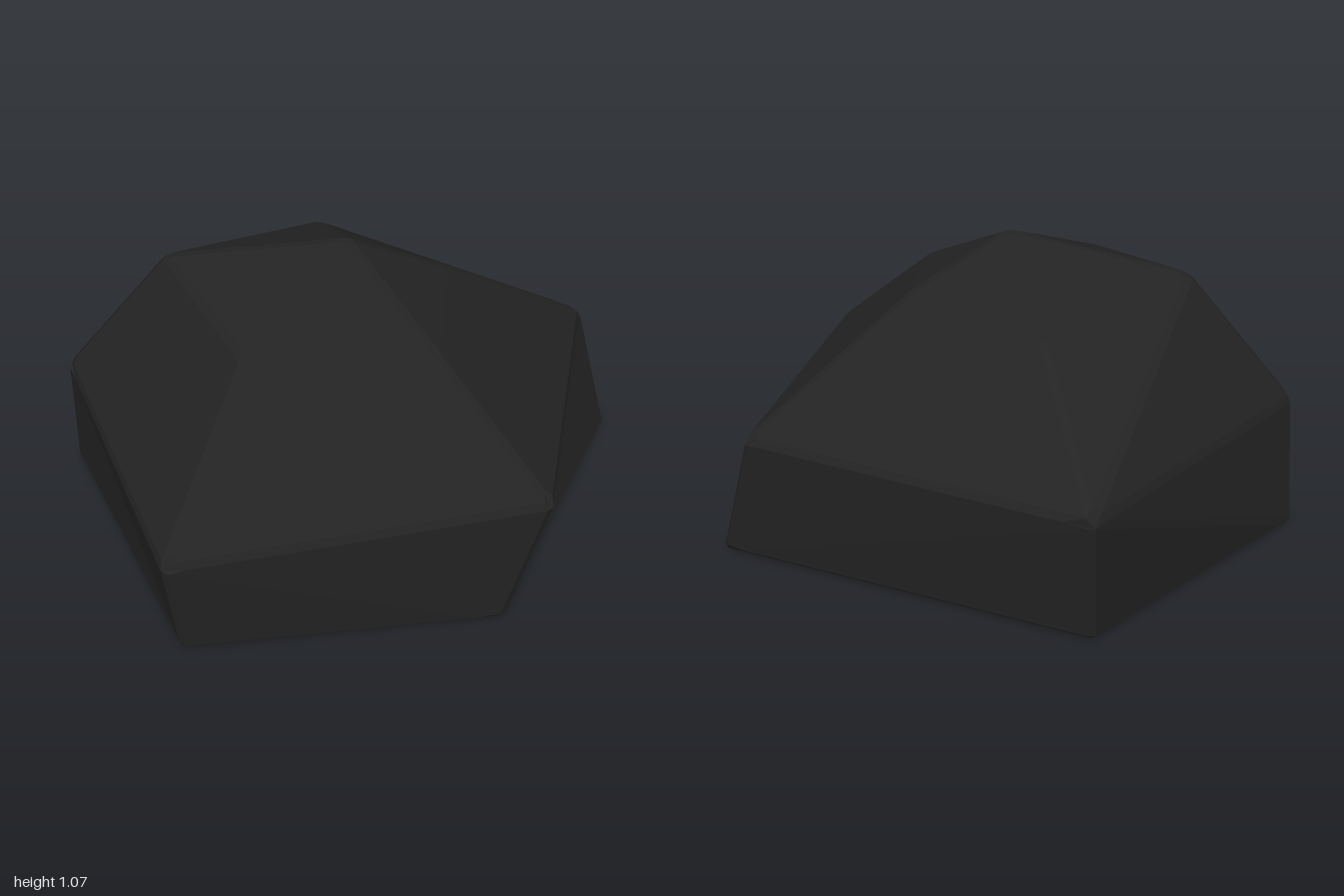
import * as THREE from 'three';

// Rings run back, left back, left front, front, right: [x, y, z]
const base = [[0.13, 0, -0.91], [-0.91, 0, -0.6], [-0.95, 0, 0.55], [0.05, 0, 0.92], [1.0, 0, 0.18]];
const shoulder = [[0.18, 0.48, -0.97], [-0.92, 0.48, -0.53], [-1.0, 0.39, 0.57], [0.18, 0.48, 0.97], [0.93, 0.48, 0.05]];
const crown = [[0.05, 0.87, -0.42], [-0.59, 0.95, -0.33], [-0.57, 0.87, 0.28], [0.0, 0.86, 0.52], [0.28, 0.89, 0.1]];
const apex = [-0.08, 1.075, 0.06];

// Bevels every edge of a closed polyhedron by a small inset
function bevelled(points, faces, inset) {
  const positions = [];
  const fan = (poly) => {
    for (let i = 1; i < poly.length - 1; i++) {
      for (const p of [poly[0], poly[i], poly[i + 1]]) positions.push(p.x, p.y, p.z);
    }
  };
  const faceAt = {};
  const corner = faces.map((face, f) => {
    const map = {};
    face.forEach((v, i) => {
      const next = face[(i + 1) % face.length];
      const prev = face[(i + face.length - 1) % face.length];
      faceAt[v + ',' + next] = f;
      const a = points[next].clone().sub(points[v]).normalize();
      const b = points[prev].clone().sub(points[v]).normalize();
      const sin = a.clone().cross(b).length();
      map[v] = { prev, p: points[v].clone().addScaledVector(a.add(b), inset / sin) };
    });
    return map;
  });

  // Facets, then strips along the edges
  faces.forEach((face, f) => {
    fan(face.map((v) => corner[f][v].p));
    face.forEach((a, i) => {
      const b = face[(i + 1) % face.length];
      if (a > b) return;
      const g = faceAt[b + ',' + a];
      fan([corner[g][a].p, corner[g][b].p, corner[f][b].p, corner[f][a].p]);
    });
  });

  // Small caps on the corners
  points.forEach((_, v) => {
    const start = faces.findIndex((face) => face.includes(v));
    const poly = [];
    let f = start;
    do {
      poly.push(corner[f][v].p);
      f = faceAt[v + ',' + corner[f][v].prev];
    } while (f !== start);
    fan(poly);
  });

  const geometry = new THREE.BufferGeometry();
  geometry.setAttribute('position', new THREE.Float32BufferAttribute(positions, 3));
  geometry.computeVertexNormals();
  return geometry;
}

export function createModel() {
  const points = [...base, ...shoulder, ...crown, apex]
    .map(([x, y, z]) => new THREE.Vector3(x * 1.015, y, z * 1.015));
  const faces = [[4, 3, 2, 1, 0]]; // flat underside

  for (let i = 0; i < 5; i++) {
    const j = (i + 1) % 5;
    const [b0, b1, s0, s1, c0, c1] = [i, j, i + 5, j + 5, i + 10, j + 10];
    // Side walls: the split direction gives the dent at the front right
    if (i >= 3) faces.push([b0, b1, s1], [b0, s1, s0]);
    else faces.push([b0, b1, s0], [b1, s1, s0]);
    // Upper slopes and peak
    faces.push([s0, s1, c1], [s0, c1, c0], [c0, c1, 15]);
  }

  const darkStone = new THREE.MeshStandardMaterial({ color: 0x232323, flatShading: true });
  darkStone.name = 'darkStone';

  const rock = new THREE.Mesh(bevelled(points, faces, 0.016), darkStone);
  rock.name = 'rock';

  const model = new THREE.Group();
  model.name = 'boulder';
  model.add(rock);
  return model;
}
